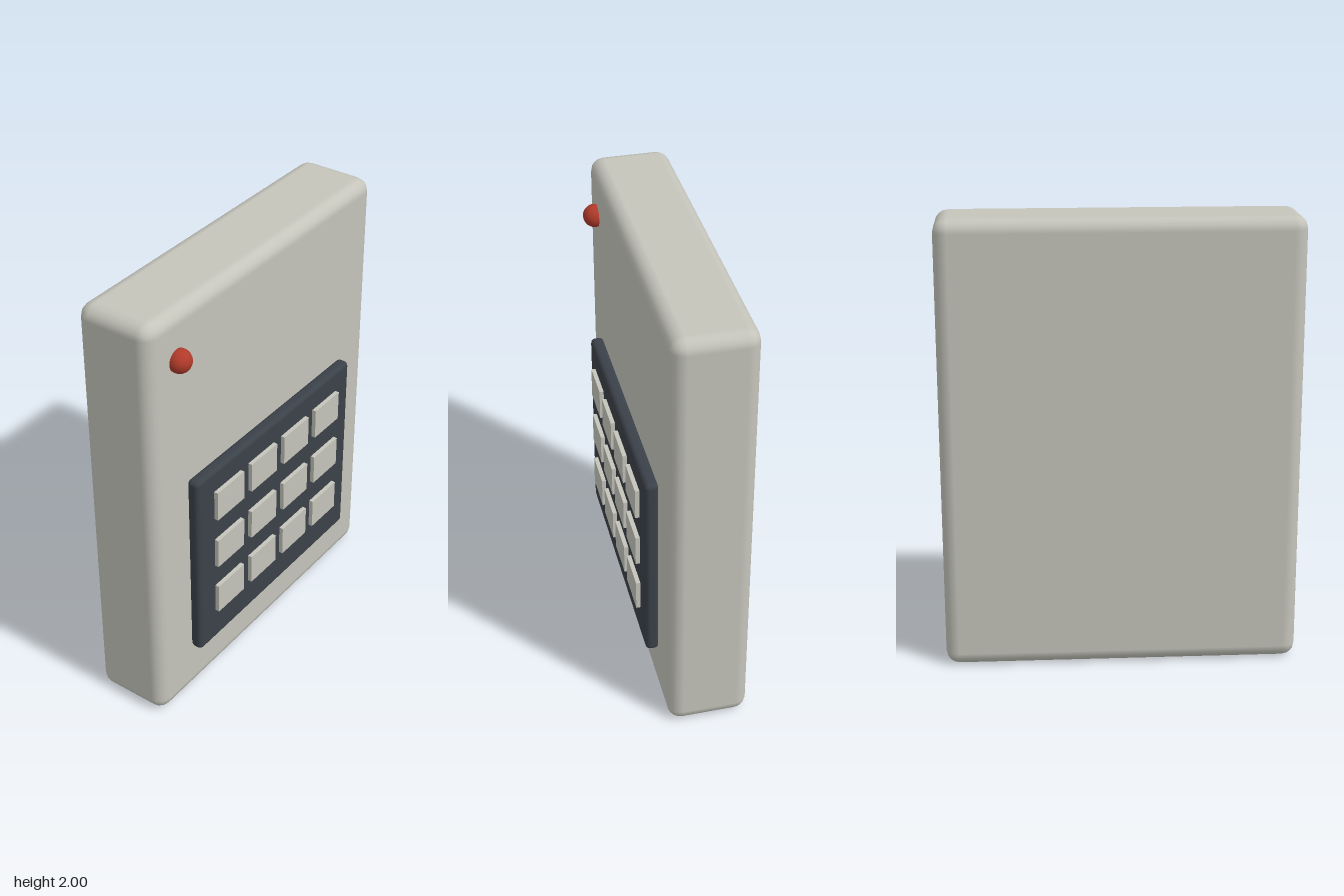
import * as THREE from 'three';
import { RoundedBoxGeometry } from 'three/addons/geometries/RoundedBoxGeometry.js';

export function createModel() {
  const group = new THREE.Group();
  const casing = new THREE.MeshStandardMaterial({ color: 0xc4c4bb });
  casing.name = 'casing grey';
  const dark = new THREE.MeshStandardMaterial({ color: 0x3b4149 });
  dark.name = 'panel slate';
  const red = new THREE.MeshStandardMaterial({ color: 0xb03a2a });
  red.name = 'lamp red';

  const add = (name, geometry, material, x, y, z) => {
    const mesh = new THREE.Mesh(geometry, material);
    mesh.name = name;
    mesh.position.set(x, y, z);
    group.add(mesh);
  };

  // Casing and raised keypad panel
  add('body', new RoundedBoxGeometry(1.57, 2, 0.356, 2, 0.06), casing, 0, 1, -0.037);
  add('keypadPanel', new RoundedBoxGeometry(1.14, 0.926, 0.06, 2, 0.022), dark, 0, 0.717, 0.167);

  // Keys: three rows of four
  const key = new THREE.BoxGeometry(0.188, 0.144, 0.04);
  for (let row = 0; row < 3; row++) {
    for (let col = 0; col < 4; col++) {
      add(`key${row + 1}_${col + 1}`, key, casing, (col - 1.5) * 0.244, 1.004 - row * 0.257, 0.196);
    }
  }

  // Indicator lamp
  add('indicatorLamp', new THREE.SphereGeometry(0.051, 24, 16), red, -0.61, 1.79, 0.153);

  return group;
}
